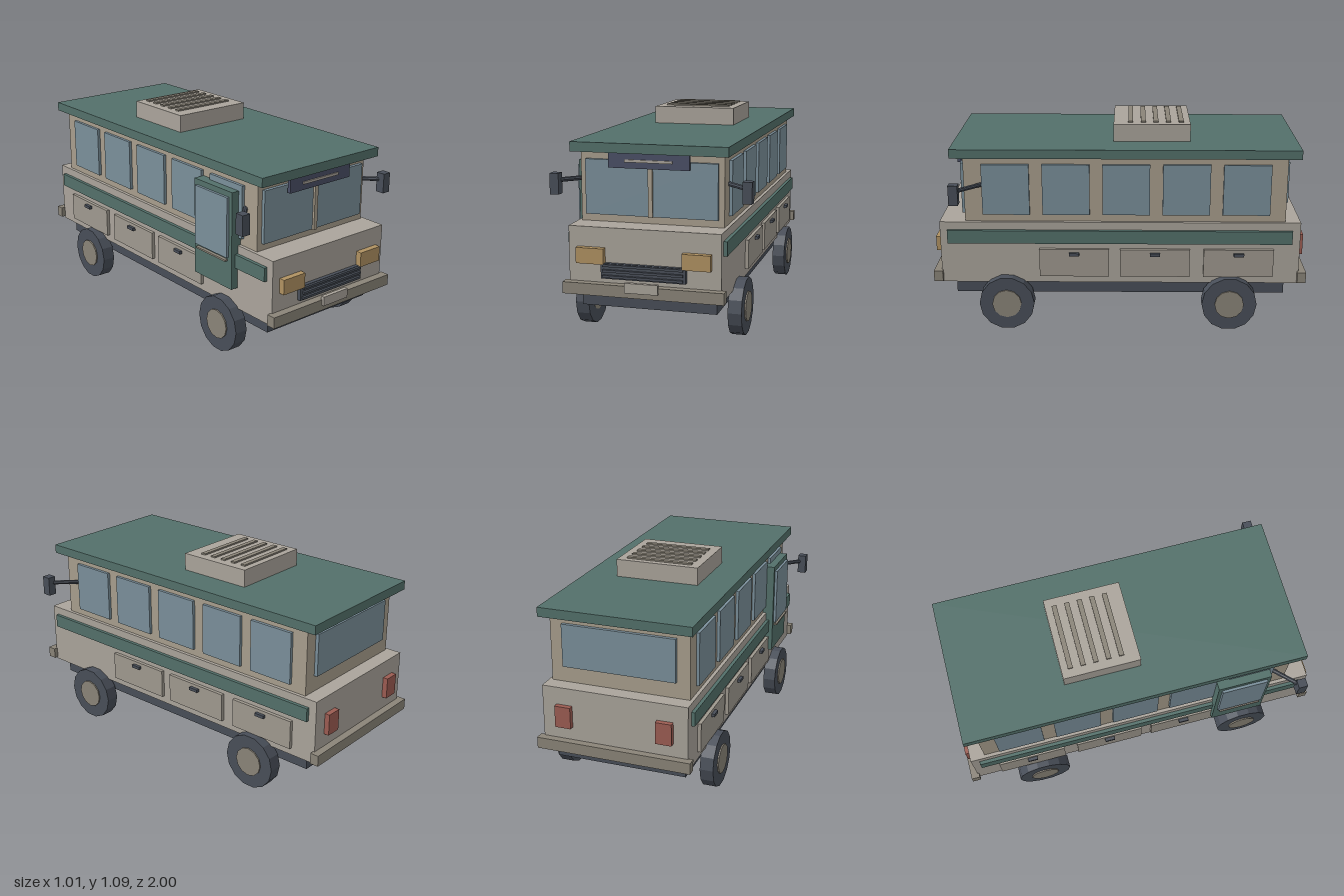
import * as THREE from 'three';

const paint = (color) => new THREE.MeshStandardMaterial({ color, flatShading: true });

export function createModel() {
  const bus = new THREE.Group();
  bus.name = 'camperBus';

  const lower = paint(0xaaa49b), upper = paint(0xa89e8d), green = paint(0x53706a);
  const dark = paint(0x484e58), glass = paint(0x7a8f9a), trim = paint(0x8a8478);
  const panel = paint(0x9f998f), amber = paint(0xb09262), red = paint(0x9c5c52);
  const navy = paint(0x4a4f66);

  // Box given by its limits along each axis
  const box = (name, mat, [x0, x1], [y0, y1], [z0, z1], parent = bus) => {
    const mesh = new THREE.Mesh(new THREE.BoxGeometry(x1 - x0, y1 - y0, z1 - z0), mat);
    mesh.position.set((x0 + x1) / 2, (y0 + y1) / 2, (z0 + z1) / 2);
    mesh.name = name;
    parent.add(mesh);
    return mesh;
  };
  // Same, with x limits mirrored for side s = 1 or -1
  const sideBox = (s, name, mat, [x0, x1], y, z) =>
    box(name, mat, s > 0 ? [x0, x1] : [-x1, -x0], y, z);

  // Main volumes
  box('chassis', dark, [-0.343, 0.343], [0.177, 0.25], [-0.89, 0.875]);
  box('lowerBody', lower, [-0.38, 0.38], [0.25, 0.59], [-0.96, 0.945]);
  box('cabin', upper, [-0.362, 0.362], [0.59, 0.94], [-0.88, 0.81]);
  box('roof', green, [-0.395, 0.395], [0.94, 0.988], [-0.945, 0.875]);

  // Roof vent with slats
  box('roofVent', lower, [-0.222, 0.222], [0.988, 1.08], [-0.378, 0.028]);
  for (let i = 0; i < 5; i++) {
    const z = -0.33 + i * 0.067;
    box('ventSlat', trim, [-0.177, 0.177], [1.078, 1.088], [z - 0.013, z + 0.013]);
  }

  // Windscreen, divider and header board
  box('windscreen', glass, [-0.334, 0.334], [0.627, 0.9], [0.8, 0.828]);
  box('windscreenDivider', upper, [-0.011, 0.011], [0.625, 0.9], [0.8, 0.84]);
  box('headerBoard', navy, [-0.203, 0.203], [0.867, 0.94], [0.845, 0.863]);
  box('headerStrip', lower, [-0.119, 0.119], [0.897, 0.91], [0.86, 0.869]);
  box('rearWindow', glass, [-0.295, 0.295], [0.675, 0.898], [-0.898, -0.87]);

  // Bumpers, plate and grille
  box('frontBumper', trim, [-0.403, 0.403], [0.26, 0.318], [0.938, 0.986]);
  box('rearBumper', trim, [-0.403, 0.403], [0.26, 0.318], [-0.998, -0.952]);
  box('frontPlate', lower, [-0.083, 0.083], [0.288, 0.337], [0.98, 1.0]);
  box('grille', dark, [-0.212, 0.212], [0.342, 0.418], [0.94, 0.965]);
  for (const y of [0.356, 0.383, 0.41])
    box('grilleSlat', dark, [-0.2, 0.2], [y - 0.006, y + 0.006], [0.96, 0.978]);

  for (const s of [1, -1]) {
    sideBox(s, 'headlight', amber, [0.195, 0.335], [0.413, 0.491], [0.94, 0.976]);
    sideBox(s, 'tailLight', red, [0.222, 0.305], [0.387, 0.5], [-0.987, -0.95]);
    sideBox(s, 'sideStripe', green, [0.37, 0.398], [0.475, 0.547], [-0.917, 0.905]);

    // Side windows
    for (let i = 0; i < 5; i++) {
      const z = 0.591 - i * 0.3155;
      sideBox(s, 'sideWindow', glass, [0.35, 0.378], [0.63, 0.903], [z - 0.124, z + 0.124]);
    }

    // Storage lockers with handles
    for (const z of [0.235, -0.193, -0.637]) {
      sideBox(s, 'locker', panel, [0.37, 0.398], [0.29, 0.443], [z - 0.185, z + 0.185]);
      sideBox(s, 'lockerHandle', dark, [0.395, 0.415], [0.41, 0.426], [z - 0.027, z + 0.027]);
    }

    // Wheels
    for (const z of [0.597, -0.592]) {
      const wheel = new THREE.Group();
      wheel.name = 'wheel';
      const tyre = new THREE.Mesh(new THREE.CylinderGeometry(0.147, 0.147, 0.07, 14), dark);
      tyre.name = 'tyre';
      const hub = new THREE.Mesh(new THREE.CylinderGeometry(0.078, 0.078, 0.078, 12), trim);
      hub.name = 'hubcap';
      hub.position.y = 0.003;
      wheel.add(tyre, hub);
      wheel.rotation.z = -s * Math.PI / 2;
      wheel.position.set(s * 0.398, 0.146, z);
      bus.add(wheel);
    }

    // Door mirrors on slanted arms
    const from = new THREE.Vector3(s * 0.355, 0.79, 0.715);
    const to = new THREE.Vector3(s * 0.482, 0.79, 0.842);
    const dir = to.clone().sub(from);
    const arm = new THREE.Mesh(new THREE.CylinderGeometry(0.012, 0.012, dir.length(), 8), dark);
    arm.name = 'mirrorArm';
    arm.position.copy(from).add(to).multiplyScalar(0.5);
    arm.quaternion.setFromUnitVectors(new THREE.Vector3(0, 1, 0), dir.normalize());
    bus.add(arm);
    sideBox(s, 'mirror', dark, [0.46, 0.506], [0.722, 0.827], [0.819, 0.868]);
  }

  // Entry door on the right side
  box('entryDoor', green, [-0.42, -0.362], [0.363, 0.872], [0.4, 0.69]);
  box('entryDoorWindow', glass, [-0.434, -0.41], [0.53, 0.843], [0.42, 0.668]);
  box('entryDoorRail', trim, [-0.438, -0.41], [0.509, 0.518], [0.43, 0.66]);

  return bus;
}
